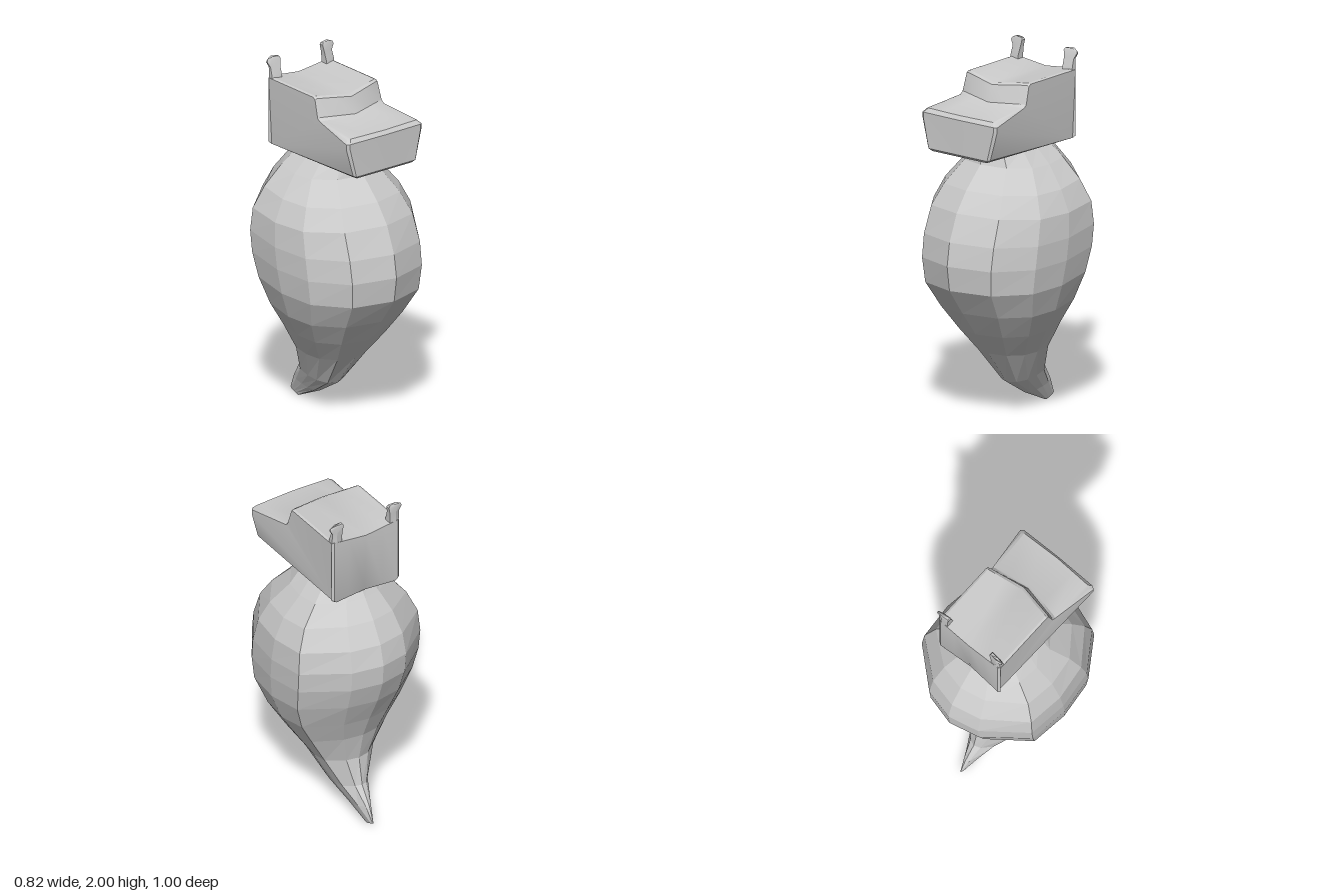
import * as THREE from 'three';
import { toCreasedNormals } from 'three/addons/utils/BufferGeometryUtils.js';

// Skins closed rings of equal length and caps both ends; flat() maps a point to the cap plane.
function loft(rings, flat) {
  const n = rings[0].length, pos = [], idx = [];
  rings.forEach(r => r.forEach(p => pos.push(...p)));
  for (let i = 0; i < rings.length - 1; i++) {
    for (let j = 0; j < n; j++) {
      const k = (j + 1) % n, a = i * n + j, b = i * n + k;
      idx.push(a, b, b + n, a, b + n, a + n);
    }
  }
  const last = (rings.length - 1) * n;
  const cap = r => THREE.ShapeUtils.triangulateShape(r.map(p => new THREE.Vector2(...flat(p))), []);
  cap(rings[0]).forEach(([a, b, c]) => idx.push(a, c, b));
  cap(rings[rings.length - 1]).forEach(([a, b, c]) => idx.push(last + a, last + b, last + c));
  const g = new THREE.BufferGeometry();
  g.setAttribute('position', new THREE.Float32BufferAttribute(pos, 3));
  g.setIndex(idx);
  return toCreasedNormals(g, 0.5);
}

const fromTop = p => [p[2], p[0]];
const fromSide = p => [p[1], p[2]];

// Bulbous body curling back into a thin tail: tilted 12-sided rings
function bodyGeometry() {
  // front z, front y, back z, back y, half width
  const rows = [
    [-0.33, 0.0, -0.40, 0.03, 0.006],
    [-0.15, 0.08, -0.36, 0.12, 0.04],
    [0.0, 0.17, -0.29, 0.22, 0.085],
    [0.15, 0.36, -0.26, 0.38, 0.165],
    [0.26, 0.49, -0.30, 0.55, 0.255],
    [0.37, 0.63, -0.36, 0.69, 0.335],
    [0.48, 0.78, -0.44, 0.85, 0.39],
    [0.50, 0.92, -0.49, 0.99, 0.408],
    [0.48, 1.05, -0.50, 1.11, 0.412],
    [0.42, 1.20, -0.47, 1.23, 0.40],
    [0.34, 1.31, -0.40, 1.35, 0.345],
    [0.22, 1.43, -0.32, 1.45, 0.25],
    [0.19, 1.52, -0.27, 1.52, 0.17],
  ];
  // half outline: share of the width, position from front (1) to back (-1)
  const half = [[0, 1], [0.59, 0.84], [0.93, 0.42], [1, -0.04], [0.95, -0.52], [0.42, -0.91], [0, -1]];
  const outline = [...half, ...half.slice(1, -1).reverse().map(([x, t]) => [-x, t])];
  return loft(rows.map(([zf, yf, zb, yb, w]) => outline.map(([x, t]) => {
    const f = (1 + t) / 2;
    const sag = 0.1 * w * (1 - t * t);
    return [x * w, yb + (yf - yb) * f - sag, zb + (zf - zb) * f];
  })), fromTop);
}

// Stepped head: side profile swept across x, with a shallow fold down the middle
function headGeometry() {
  // z, y, half width, shift of z and y at the middle
  const profile = [
    [-0.325, 1.495, 0.20, 0.015, 0.005],
    [-0.33, 1.51, 0.217, 0.015, 0],
    [-0.33, 1.89, 0.217, 0, -0.025],
    [0.06, 1.89, 0.217, 0.04, -0.025],
    [0.075, 1.88, 0.217, 0.045, -0.025],
    [0.105, 1.78, 0.222, 0.05, -0.015],
    [0.125, 1.765, 0.222, 0.045, -0.005],
    [0.385, 1.742, 0.24, 0.01, 0],
    [0.405, 1.72, 0.26, 0.005, 0],
    [0.405, 1.69, 0.26, 0.005, 0],
    [0.41, 1.525, 0.217, 0, 0],
    [0.395, 1.51, 0.20, 0, 0],
  ];
  const slices = [-1, -0.94, -0.5, 0, 0.5, 0.94, 1];
  return loft(slices.map(s => {
    const shrink = Math.abs(s) === 1 ? 0.97 : 1; // bevelled rim
    const fold = 1 - Math.abs(s);
    return profile.map(([z, y, w, dz, dy]) => [
      s * w, 1.65 + (y + dy * fold - 1.65) * shrink, (z + dz * fold) * shrink,
    ]);
  }), fromSide);
}

// Small upright ear, flaring outward at the tip
function earGeometry(side) {
  // inner x, outer x, back z, front z, inner y, outer y
  const rows = [
    [0.155, 0.215, -0.33, -0.28, 1.85, 1.85],
    [0.155, 0.215, -0.332, -0.285, 1.90, 1.90],
    [0.153, 0.213, -0.335, -0.30, 1.945, 1.945],
    [0.146, 0.23, -0.337, -0.306, 1.985, 1.975],
    [0.152, 0.225, -0.334, -0.312, 1.996, 1.988],
  ];
  return loft(rows.map(([xi, xo, zb, zf, yi, yo]) => {
    const xm = xi + (xo - xi) * 0.6;
    const ring = [
      [xi, yi, zf], [xm, yi + 0.004, zf - 0.005], [xo, yo, zf - 0.01],
      [xo, yo, zb + 0.01], [xm, yi + 0.004, zb], [xi, yi, zb + 0.005],
    ].map(([x, y, z]) => [x * side, y, z]);
    return side > 0 ? ring : ring.reverse();
  }), fromTop);
}

export function createModel() {
  const group = new THREE.Group();
  const smooth = new THREE.MeshStandardMaterial({ color: 0xcccccc });
  const faceted = new THREE.MeshStandardMaterial({ color: 0xcccccc, flatShading: true });
  const add = (name, geometry, material) => {
    const mesh = new THREE.Mesh(geometry, material);
    mesh.name = name;
    group.add(mesh);
  };
  add('body', bodyGeometry(), faceted);
  add('head', headGeometry(), smooth);
  add('leftEar', earGeometry(1), smooth);
  add('rightEar', earGeometry(-1), smooth);
  return group;
}
